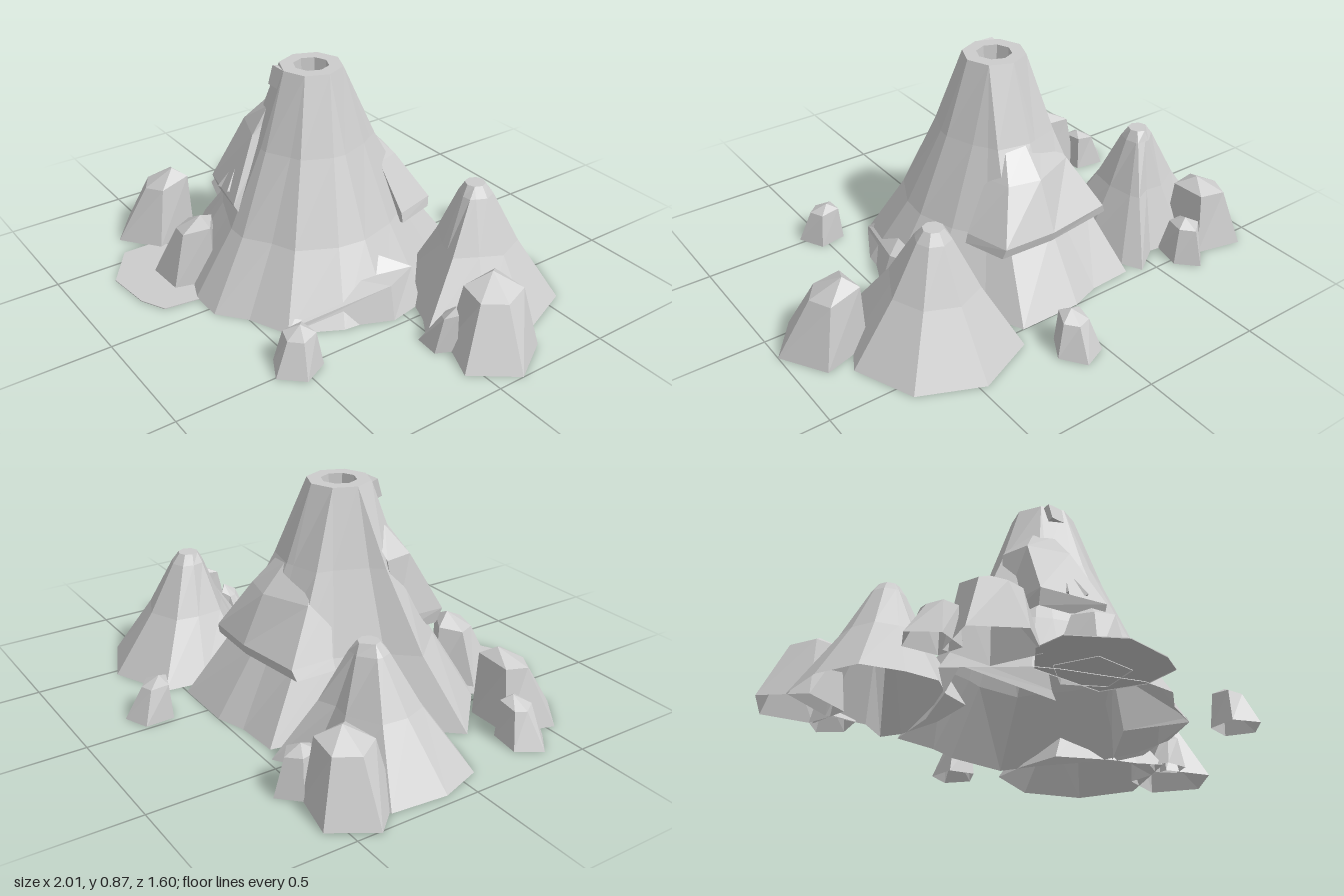
import * as THREE from 'three';

const material = new THREE.MeshStandardMaterial({ color: 0xcccccc, flatShading: true, side: THREE.DoubleSide });

function addMesh(parent, name, geometry) {
  const mesh = new THREE.Mesh(geometry, material);
  mesh.name = name;
  parent.add(mesh);
  return mesh;
}

// Skin between rings of [x, y, z] points, listed bottom to top, turning from +x to +z.
function loft(rings, capTop = true) {
  const pos = [];
  const tri = (a, b, c) => pos.push(...a, ...b, ...c);
  const n = rings[0].length;
  const last = rings[rings.length - 1];
  const middle = [0, 1, 2].map(k => last.reduce((s, p) => s + p[k], 0) / n);
  for (let i = 0; i < n; i++) {
    const j = (i + 1) % n;
    for (let r = 0; r < rings.length - 1; r++) {
      const lo = rings[r], hi = rings[r + 1];
      tri(lo[i], hi[i], lo[j]);
      tri(lo[j], hi[i], hi[j]);
    }
    if (capTop) tri(last[j], last[i], middle);
  }
  const g = new THREE.BufferGeometry();
  g.setAttribute('position', new THREE.Float32BufferAttribute(pos, 3));
  g.computeVertexNormals();
  return g;
}

const level = (y, points) => points.map(([x, z]) => [x, y, z]);

// Octagonal ring with one point for each footprint point, snapped to the nearest corner.
function octagon([cx, cz], r, y, base) {
  return base.map(([x, z]) => {
    const a = Math.round(Math.atan2(z - cz, x - cx) / (Math.PI / 4)) * Math.PI / 4;
    return [cx + r * Math.cos(a), y, cz + r * Math.sin(a)];
  });
}

// Rings that grow from an octagonal tip to an irregular footprint; profile rows are [y, spread].
function slopeRings(base, centre, tipRadius, profile) {
  return profile.map(([y, t]) => octagon(centre, tipRadius, y, base).map(([tx, , tz], i) =>
    [tx + (base[i][0] - tx) * t, y, tz + (base[i][1] - tz) * t]));
}

// Five-sided boulder: the side near its peak is steep, the far side is lower and slopes more.
function boulder(x, z, rx, rz, turn, px, pz, h) {
  const foot = Array.from({ length: 5 }, (_, i) => {
    const a = turn + i * Math.PI * 0.4;
    return [x + Math.cos(a) * rx, 0, z + Math.sin(a) * rz];
  });
  const shoulder = foot.map(([fx, , fz]) => {
    const away = Math.hypot(fx - px, fz - pz) / (rx + rz);
    const inset = 0.7 * away;
    return [fx + (px - fx) * inset, h * (0.95 - 0.25 * away), fz + (pz - fz) * inset];
  });
  return loft([foot, shoulder, foot.map(() => [px, h, pz])], false);
}

export function createModel() {
  const group = new THREE.Group();
  group.name = 'volcano';

  // Main cone with a crater sunk into the top
  const c = [-0.08, 0.05];
  const foot = [
    [0.43, 0.05], [0.41, 0.24], [0.31, 0.43], [0.15, 0.5], [0.04, 0.59], [-0.1, 0.59],
    [-0.25, 0.53], [-0.38, 0.48], [-0.47, 0.43], [-0.69, 0.22], [-0.53, 0.04], [-0.43, -0.2],
    [-0.38, -0.45], [-0.2, -0.46], [-0.08, -0.5], [0.18, -0.5], [0.25, -0.35], [0.38, -0.15],
  ];
  addMesh(group, 'mainCone', loft([
    ...slopeRings(foot, c, 0.125, [[0, 1], [0.26, 0.6], [0.57, 0.26], [0.865, 0]]),
    octagon(c, 0.07, 0.865, foot),
    octagon(c, 0.065, 0.78, foot),
  ]));

  // Rock layers lying on the front and back slopes
  addMesh(group, 'frontLedge', loft([
    level(0.3, [[-0.08, 0.25], [-0.08, 0.38], [-0.35, 0.33], [-0.35, 0.15]]),
    level(0.36, [[-0.09, 0.25], [-0.09, 0.41], [-0.36, 0.35], [-0.35, 0.14]]),
    level(0.6, [[-0.14, 0.2], [-0.15, 0.28], [-0.31, 0.22], [-0.33, 0.1]]),
    level(0.7, [[-0.16, 0.14], [-0.16, 0.2], [-0.23, 0.16], [-0.24, 0.08]]),
  ]));
  addMesh(group, 'backShoulder', loft([
    level(0.23, [[0.22, -0.18], [-0.36, -0.15], [-0.36, -0.32], [-0.06, -0.36], [0.17, -0.35]]),
    level(0.27, [[0.21, -0.18], [-0.34, -0.15], [-0.34, -0.33], [-0.06, -0.37], [0.16, -0.36]]),
    level(0.46, [[0.1, -0.15], [-0.25, -0.1], [-0.25, -0.2], [-0.06, -0.28], [0.07, -0.25]]),
    level(0.57, [[0.03, -0.1], [-0.18, -0.08], [-0.18, -0.12], [-0.06, -0.18], [0.02, -0.16]]),
  ]));

  // Low ridge running along the left foot of the cone
  addMesh(group, 'sideSpur', loft([
    level(0, [[0.44, -0.1], [0.47, 0.05], [0.31, 0.43], [0.2, 0.2]]),
    [[0.38, 0.14, -0.1], [0.43, 0.13, 0.04], [0.31, 0.02, 0.42], [0.2, 0.26, 0.15]],
  ]));

  // Shards on the front slope, and a spout under the rim
  [[-0.19, 0.44, 0.33, 0.04, 0.2], [-0.23, 0.41, 0.34, 0.03, -0.3]].forEach(([x, y, z, r, tilt]) => {
    const shard = addMesh(group, 'shard', new THREE.ConeGeometry(r, r * 4, 3));
    shard.position.set(x, y, z);
    shard.rotation.set(-0.4, tilt, tilt);
  });
  const spout = addMesh(group, 'rimSpout', new THREE.BoxGeometry(0.07, 0.075, 0.05));
  spout.position.set(-0.125, 0.82, 0.16);
  spout.rotation.x = -0.3;

  // Two smaller peaks
  const peakProfile = [[0, 1], [0.24, 0.45], [0.435, 0.1], [0.475, 0]];
  const peaks = {
    leftPeak: [[0.46, -0.33], [
      [0.81, -0.33], [0.73, -0.18], [0.62, 0.02], [0.53, -0.04], [0.42, -0.08], [0.22, -0.2],
      [0.21, -0.4], [0.23, -0.57], [0.47, -0.675], [0.71, -0.57],
    ]],
    rightPeak: [[-0.63, -0.2], [
      [-0.38, -0.2], [-0.41, 0.01], [-0.53, 0.05], [-0.62, 0.13], [-0.75, 0.12], [-0.9, 0.07],
      [-0.96, -0.1], [-0.94, -0.32], [-0.72, -0.42], [-0.56, -0.4], [-0.44, -0.48], [-0.4, -0.4],
    ]],
  };
  for (const [name, [centre, base]] of Object.entries(peaks)) {
    addMesh(group, name, loft(slopeRings(base, centre, 0.04, peakProfile)));
  }

  // Boulders around the foot: x, z, radius x, radius z, turn, peak x, peak z, height
  const boulders = [
    [-0.84, -0.42, 0.17, 0.16, 0.55, -0.78, -0.41, 0.29],
    [-0.65, -0.49, 0.08, 0.11, -1.57, -0.65, -0.49, 0.18],
    [-0.67, 0.48, 0.165, 0.17, 1.57, -0.63, 0.4, 0.29],
    [-0.83, 0.36, 0.11, 0.09, 3.0, -0.78, 0.35, 0.17],
    [-0.29, 0.52, 0.14, 0.14, 0.9, -0.24, 0.48, 0.27],
    [0.83, -0.12, 0.17, 0.18, 0.05, 0.75, -0.17, 0.29],
    [0.67, 0, 0.085, 0.07, 1.0, 0.72, -0.03, 0.17],
    [0.49, 0.51, 0.095, 0.1, 1.4, 0.47, 0.48, 0.16],
    [0.09, -0.7, 0.09, 0.1, -1.3, 0.09, -0.66, 0.16],
  ];
  boulders.forEach(b => addMesh(group, 'boulder', boulder(...b)));

  // Flat pool at the front
  const pool = [[-0.08, 0.58], [-0.1, 0.73], [-0.2, 0.78], [-0.39, 0.8], [-0.56, 0.68], [-0.56, 0.55], [-0.45, 0.42], [-0.15, 0.42]];
  addMesh(group, 'pool', loft([level(0, pool), level(0.003, pool)]));

  return group;
}
